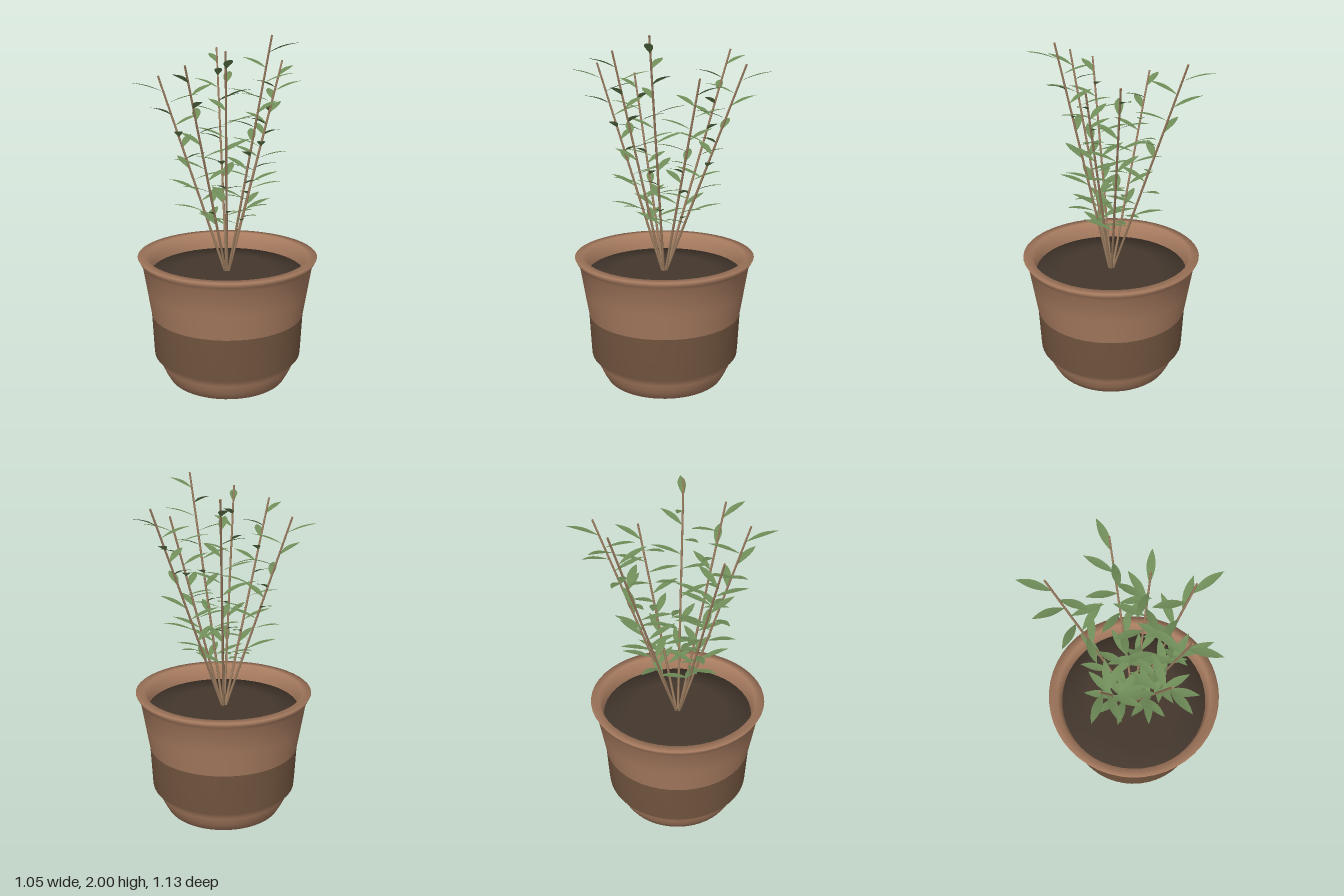
import * as THREE from 'three';
import { toCreasedNormals } from 'three/addons/utils/BufferGeometryUtils.js';

const CENTRE_Z = 0.042;
const mat = (color, side = THREE.FrontSide) =>
  new THREE.MeshStandardMaterial({ color, side });
const clay = mat(0xa87c60), darkClay = mat(0x72553f), soilMat = mat(0x43372d);
const bark = mat(0x9c7d60), leafMat = mat(0x6f8c58, THREE.DoubleSide);

function named(name, geometry, material) {
  const mesh = new THREE.Mesh(geometry, material);
  mesh.name = name;
  return mesh;
}

// Revolved part from [radius, height] pairs, with soft shading over its edges
function turned(name, profile, material) {
  const geo = new THREE.LatheGeometry(profile.map(p => new THREE.Vector2(...p)), 48);
  return named(name, toCreasedNormals(geo, 2.5), material);
}

// Pointed leaf growing along +z, rising then arching over, folded at the midrib
function leafGeometry(length, width) {
  const geo = new THREE.PlaneGeometry(1, 1, 2, 8).rotateX(-Math.PI / 2);
  const pos = geo.attributes.position;
  for (let i = 0; i < pos.count; i++) {
    const t = pos.getZ(i) + 0.5;
    const x = pos.getX(i) * width * Math.max(0, Math.sin(Math.PI * t));
    const rise = length * (0.48 * t - 0.18 * t * t);
    pos.setXYZ(i, x, rise + Math.abs(x) * 0.15, t * length);
  }
  geo.computeVertexNormals();
  return geo;
}

// Stem tips: x, y, z
const TIPS = [
  [0.30, 1.78, 0.035], [0.185, 2.0, 0.28], [-0.075, 1.92, 0.335], [-0.28, 1.85, 0.30],
  [-0.375, 1.78, -0.025], [0.04, 1.92, -0.42], [0.395, 1.85, -0.21],
];

function makeStem(tipXYZ, leafGeo) {
  const branch = new THREE.Group();
  branch.name = 'branch';
  const tip = new THREE.Vector3(...tipXYZ);
  const out = Math.atan2(tip.z - CENTRE_Z, tip.x);
  const base = new THREE.Vector3(0.01 * Math.cos(out), 0.64, CENTRE_Z + 0.01 * Math.sin(out));
  const dir = tip.clone().sub(base);

  const stem = named('stem', new THREE.CylinderGeometry(0.0055, 0.0075, dir.length(), 8), bark);
  stem.position.copy(base).addScaledVector(dir, 0.5);
  stem.quaternion.setFromUnitVectors(new THREE.Vector3(0, 1, 0), dir.clone().normalize());
  branch.add(stem);

  // Leaves alternate from side to side and spiral down from the tip
  const count = 13, top = tip.y - 0.09, bottom = 0.945;
  for (let i = 0; i < count; i++) {
    const y = top + (bottom - top) * i / (count - 1);
    const turn = (i % 2 ? 185 : -10) - 40 * Math.floor(i / 2);
    const leaf = named('leaf', leafGeo, leafMat);
    leaf.position.lerpVectors(base, tip, (y - base.y) / dir.y);
    leaf.rotation.y = Math.PI / 2 - out - THREE.MathUtils.degToRad(turn);
    branch.add(leaf);
  }
  return branch;
}

export function createModel() {
  const model = new THREE.Group();
  model.name = 'pottedPlant';

  // Pot: softly rounded foot, darker stepped band, flared wall with rolled rim
  const pot = new THREE.Group();
  pot.name = 'pot';
  pot.position.set(0.002, 0, CENTRE_Z);
  pot.add(
    turned('potFoot', [
      [0, 0], [0.35, 0], [0.375, 0.045], [0.40, 0.10], [0.407, 0.15], [0.435, 0.15],
    ], clay),
    turned('potBand', [[0.435, 0.15], [0.438, 0.19], [0.448, 0.40]], darkClay),
    turned('potWall', [
      [0.448, 0.40], [0.472, 0.55], [0.496, 0.70], [0.508, 0.72], [0.523, 0.75],
      [0.47, 0.75], [0.449, 0.64],
    ], clay),
    // Level soil with a softened edge
    turned('soil', [[0.449, 0.62], [0.449, 0.65], [0.3, 0.65], [0, 0.65]], soilMat),
  );
  model.add(pot);

  // Foliage
  const foliage = new THREE.Group();
  foliage.name = 'foliage';
  const leafGeo = leafGeometry(0.178, 0.046);
  for (const tip of TIPS) foliage.add(makeStem(tip, leafGeo));
  model.add(foliage);
  return model;
}
